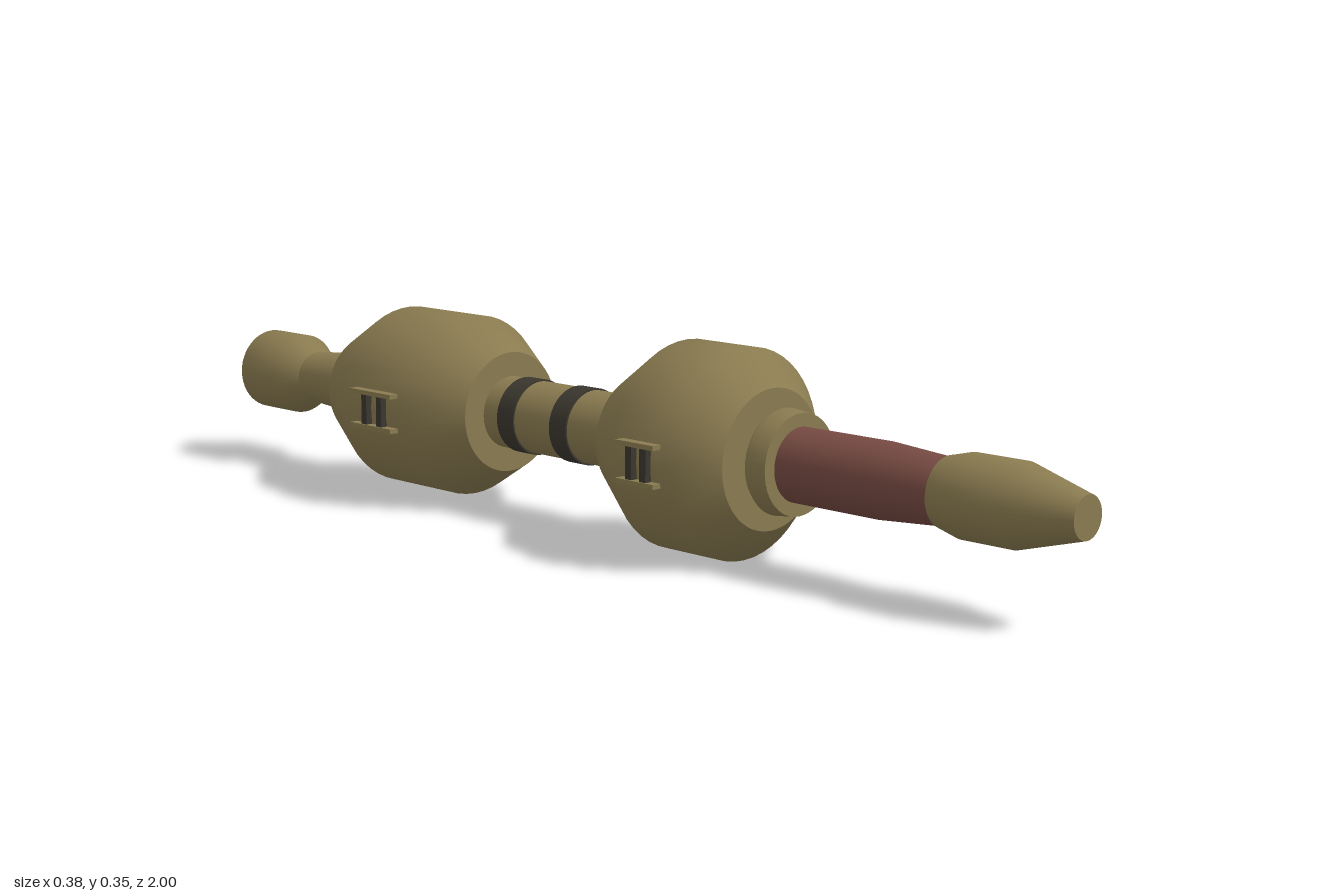
import * as THREE from 'three';
import { mergeGeometries } from 'three/addons/utils/BufferGeometryUtils.js';

const AXIS_Y = 0.175;

function material(name, color) {
  const m = new THREE.MeshStandardMaterial({ color });
  m.name = name;
  return m;
}

// Turned part along z: smooth side wall with flat, crisp end caps.
// Profile is a list of [z, radius] from back to front.
function turned(name, profile, mat) {
  const lathe = (pts) => new THREE.LatheGeometry(pts.map(([z, r]) => new THREE.Vector2(r, z)), 48);
  const first = profile[0];
  const last = profile[profile.length - 1];
  const geometry = mergeGeometries([
    lathe([[first[0], 0], first]),
    lathe(profile),
    lathe([last, [last[0], 0]]),
  ]);
  geometry.rotateX(Math.PI / 2);
  const mesh = new THREE.Mesh(geometry, mat);
  mesh.name = name;
  mesh.position.y = AXIS_Y;
  return mesh;
}

export function createModel() {
  const model = new THREE.Group();
  model.name = 'doubleBulbRod';
  const olive = material('olive', 0x8a7b50);
  const red = material('brownRed', 0x764a42);
  const dark = material('darkGrey', 0x3b372f);

  // Front tip, grip and collar
  model.add(turned('frontTip', [[0.75, 0.056], [0.79, 0.066], [0.885, 0.066], [1, 0.034]], olive));
  model.add(turned('redGrip', [[0.38, 0.061], [0.63, 0.061], [0.755, 0.052]], red));
  model.add(turned('collar', [[0.41, 0.08], [0.42, 0.087], [0.455, 0.083]], olive));

  // Two bulbs on a banded neck
  model.add(turned('frontBulb', [[0.095, 0.104], [0.205, 0.175], [0.335, 0.175], [0.395, 0.116]], olive));
  model.add(turned('neck', [[-0.24, 0.064], [0.1, 0.064]], olive));
  for (const z of [-0.04, -0.175]) {
    model.add(turned('neckBand', [[z - 0.021, 0.067], [z + 0.021, 0.067]], dark));
  }
  model.add(turned('rearBulb', [[-0.635, 0.1], [-0.515, 0.163], [-0.335, 0.163], [-0.235, 0.107]], olive));

  // Rear handle and pommel
  model.add(turned('rearHandle', [[-0.805, 0.048], [-0.63, 0.061]], olive));
  model.add(turned('pommel', [[-1, 0.04], [-0.95, 0.076], [-0.85, 0.076], [-0.8, 0.048]], olive));

  // Raised clasps on both sides of each bulb: two rails joined by two posts
  function clasp(name, side, z, radius, width, gap) {
    const group = new THREE.Group();
    group.name = name;
    const box = (part, sx, sy, sz, x, y, dz, mat) => {
      const mesh = new THREE.Mesh(new THREE.BoxGeometry(sx, sy, sz), mat);
      mesh.name = part;
      mesh.position.set(side * x, y, dz);
      group.add(mesh);
    };
    for (const s of [-1, 1]) {
      box('rail', 0.02, 0.008, width, radius + 0.004, s * 0.031, 0, olive);
      box('post', 0.018, 0.056, 0.014, radius + 0.002, 0, s * gap, dark);
    }
    group.position.set(0, AXIS_Y, z);
    model.add(group);
  }
  for (const side of [-1, 1]) {
    const label = side > 0 ? 'left' : 'right';
    clasp(label + 'FrontClasp', side, 0.272, 0.175, 0.085, 0.016);
    clasp(label + 'RearClasp', side, -0.415, 0.163, 0.115, 0.021);
  }
  return model;
}
